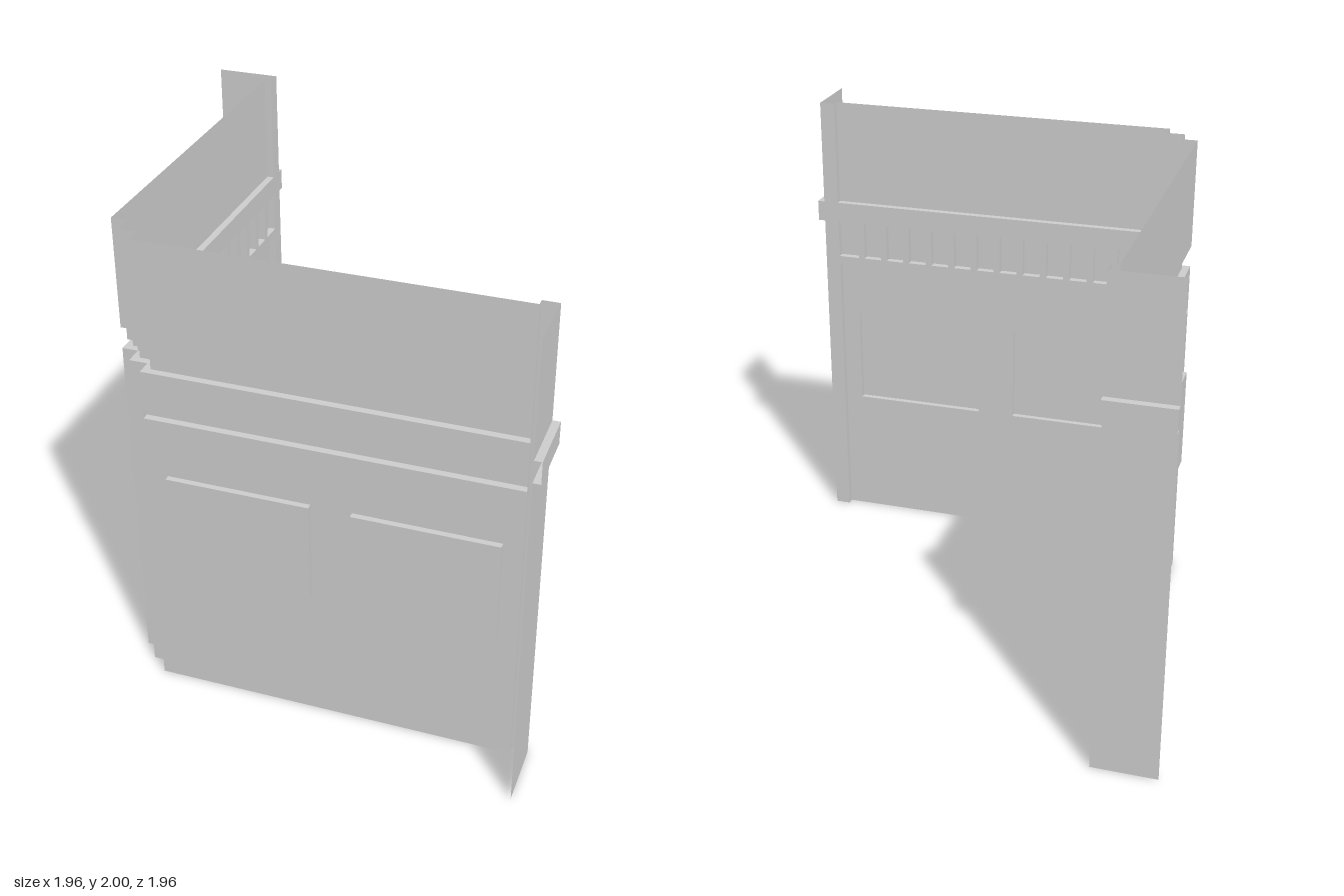
import * as THREE from 'three';

const material = new THREE.MeshStandardMaterial({ color: 0xcccccc, side: THREE.DoubleSide, flatShading: true });
const WALL = 0.745;   // plane of the wall sheet
const FACE = 0.715;   // plane of ledges, cornice and end pilaster
const D = 0.03;       // relief depth
const CORNICE = [1.455, 1.545];

function add(parent, name, geometry) {
  const mesh = new THREE.Mesh(geometry, material);
  mesh.name = name;
  parent.add(mesh);
  return mesh;
}

// Sheet swept along a plan path of [x, z, dx, dz]; each level is [y, outset],
// where the outset moves a point along its own (dx, dz).
function sweep(path, levels) {
  const pos = [];
  const at = ([x, z, dx, dz], [y, d]) => [x + dx * d, y, z + dz * d];
  for (let i = 0; i < path.length - 1; i++) {
    for (let j = 0; j < levels.length - 1; j++) {
      const a = at(path[i], levels[j]), b = at(path[i + 1], levels[j]);
      const c = at(path[i + 1], levels[j + 1]), d = at(path[i], levels[j + 1]);
      pos.push(...a, ...c, ...b, ...a, ...d, ...c);
    }
  }
  const g = new THREE.BufferGeometry();
  g.setAttribute('position', new THREE.Float32BufferAttribute(pos, 3));
  g.computeVertexNormals();
  return g;
}

const corniceLevels = [[CORNICE[0], 0], [CORNICE[0], D], [CORNICE[1], D], [CORNICE[1], 0]];
const windows = [[-0.52, 0.065], [0.23, 0.81]];
const SILL = 0.575, HEAD = 1.005;
const X0 = -0.605, X1 = 0.885, X2 = 0.95, END = 0.98;

// One arm of the corner wall, running along x
function arm() {
  const group = new THREE.Group();

  // Lower wall with two rectangular openings
  const shape = new THREE.Shape();
  shape.moveTo(X0, 0).lineTo(X1, 0).lineTo(X1, 1.25).lineTo(X0, 1.25).closePath();
  for (const [a, b] of windows) {
    const hole = new THREE.Path();
    hole.moveTo(a, SILL).lineTo(a, HEAD).lineTo(b, HEAD).lineTo(b, SILL).closePath();
    shape.holes.push(hole);
  }
  add(group, 'lowerWall', new THREE.ShapeGeometry(shape)).position.z = WALL;

  // Shallow window recesses behind the openings: four reveals and a back
  for (const [a, b] of windows) {
    const back = WALL + 0.025;
    const reveal = [[a, WALL, 0, 1], [a, back], [b, back], [b, WALL]].map(([x, z]) => [x, z, 0, 0]);
    add(group, 'windowRecess', sweep(reveal, [[SILL, 0], [HEAD, 0]]));
    for (const y of [SILL, HEAD]) {
      const lid = add(group, 'windowReveal', new THREE.PlaneGeometry(b - a, 0.025));
      lid.rotation.x = -Math.PI / 2;
      lid.position.set((a + b) / 2, y, WALL + 0.0125);
    }
  }

  // Ledge and flat frieze above it
  const straight = [[X0, WALL, 0, -1], [X1, WALL, 0, -1]];
  add(group, 'ledgeAndFrieze', sweep(straight,
    [[1.25, 0], [1.25, D], [1.29, D], [1.29, 0], [CORNICE[0], 0]]));

  // Fins dividing the frieze into small niches
  for (let i = 0; i < 13; i++) {
    const fin = add(group, 'friezeFin', new THREE.BoxGeometry(0.028, CORNICE[0] - 1.29, D));
    fin.position.set(-0.503 + i * 0.1067, (1.29 + CORNICE[0]) / 2, (WALL + FACE) / 2);
  }

  // End pilaster
  const pilaster = [[X1, WALL], [X1, FACE], [X2, FACE]].map(([x, z]) => [x, z, 0, 0]);
  add(group, 'endPilaster', sweep(pilaster, [[0, 0], [2, 0]]));

  // Return wall with its own cornice, open behind
  const side = [[X2, FACE, 1, 0], [X2, END, 1, 0]];
  add(group, 'returnWall', sweep(side, [[0, 0], ...corniceLevels, [2, 0]]));
  const cap = add(group, 'returnCorniceCap', new THREE.PlaneGeometry(D, CORNICE[1] - CORNICE[0]));
  cap.position.set(X2 + D / 2, (CORNICE[0] + CORNICE[1]) / 2, FACE);
  cap.rotation.y = Math.PI;
  return group;
}

export function createModel() {
  const model = new THREE.Group();
  model.name = 'cornerWall';

  const front = arm();
  front.name = 'frontArm';
  const side = arm();
  side.name = 'sideArm';
  side.scale.x = -1;              // mirrored across the diagonal
  side.rotation.y = -Math.PI / 2;
  model.add(front, side);

  // Stepped corner between the arms
  const steps = [[-WALL, 0.605], [-0.68, 0.605], [-0.68, 0.68], [X0, 0.68], [X0, WALL]]
    .map(([x, z]) => [x, z, 1, -1]);
  add(model, 'steppedCorner', sweep(steps, [[0, 0], [CORNICE[0], 0]]));

  // Cornice and upper wall run continuously round the corner
  const full = [[-WALL, -X1, 1, 0], ...steps, [X1, WALL, 0, -1]];
  add(model, 'cornice', sweep(full, corniceLevels));
  add(model, 'upperWall', sweep(full, [[CORNICE[1], 0], [2, 0]]));
  return model;
}
